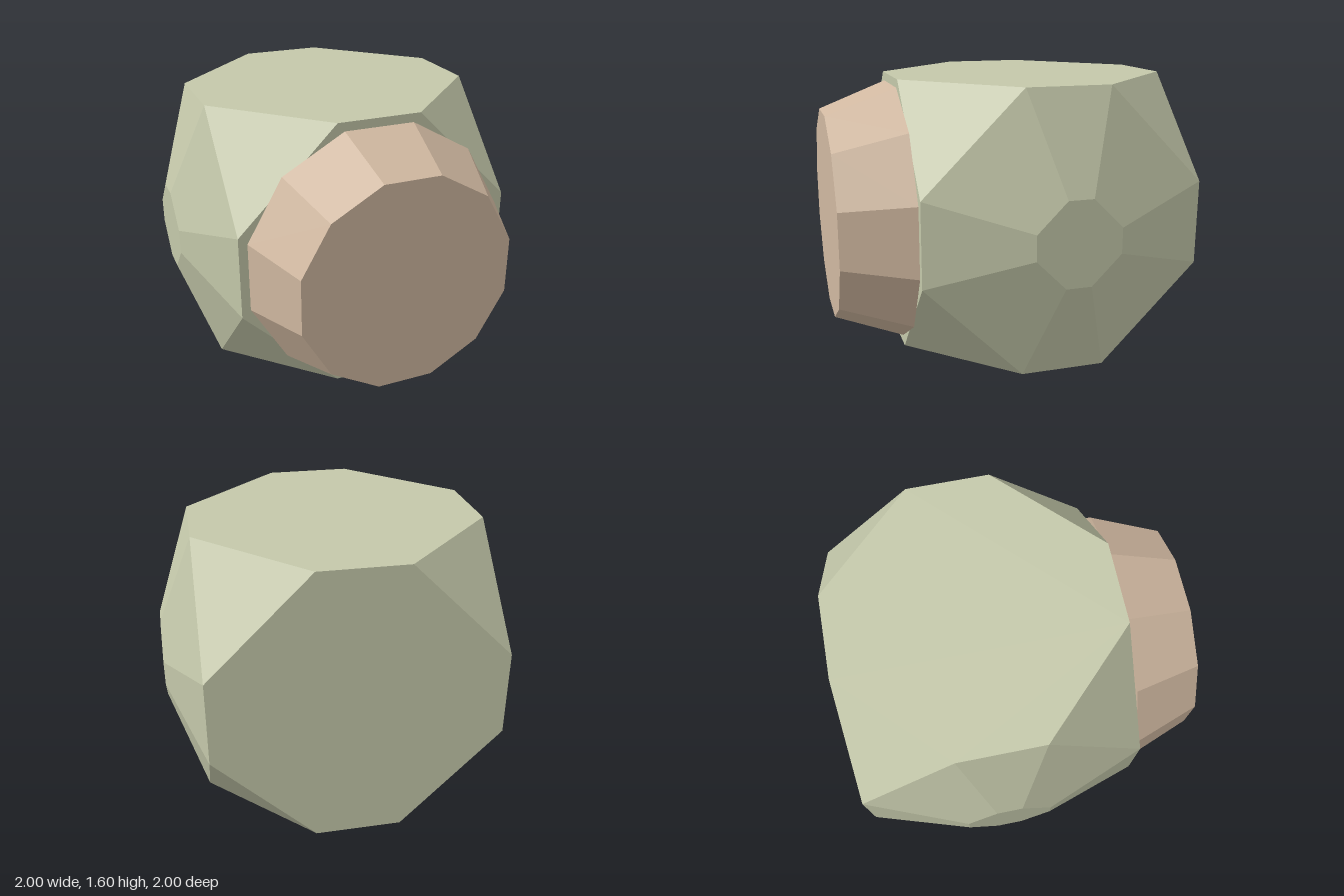
import * as THREE from 'three';
import { ConvexGeometry } from 'three/addons/geometries/ConvexGeometry.js';

const signs = [-1, 1];

// Ring of points mirrored in x and y from one quarter, at depth z.
function mirroredRing(quarter, z, scale = 1) {
  const points = [];
  for (const [x, y] of quarter)
    for (const sx of signs) for (const sy of signs)
      points.push(new THREE.Vector3(x * sx * scale, y * sy * scale, z));
  return points;
}

function solid(name, points, color) {
  const material = new THREE.MeshStandardMaterial({ color, flatShading: true });
  const mesh = new THREE.Mesh(new ConvexGeometry(points), material);
  mesh.name = name;
  return mesh;
}

export function createModel() {
  const model = new THREE.Group();
  model.name = 'model';

  // Head: cube with cut corners, each side cheek raised to a small octagon
  const half = 0.8, cut = 0.24;
  const octagon = [[cut, half], [half, cut]];
  const headPoints = [
    ...mirroredRing(octagon, half),
    ...mirroredRing(octagon, -half),
    ...mirroredRing([[half, half]], cut),
    ...mirroredRing([[half, half]], -cut),
  ];
  for (const side of signs)
    for (const p of mirroredRing(octagon, side, 0.3))
      headPoints.push(new THREE.Vector3(p.z, p.y, p.x));
  const head = solid('head', headPoints, 0xc4c8aa);
  head.position.set(0, 0.8, -0.2);
  model.add(head);

  // Snout: twelve-sided block tapering towards the front
  const outline = [[0.2, 0.75], [0.55, 0.55], [0.75, 0.2]];
  const snout = solid('snout', [
    ...mirroredRing(outline, 0),
    ...mirroredRing(outline, 0.4, 0.8),
  ], 0xd0b8a0);
  snout.position.set(0, 0.8, 0.6);
  model.add(snout);

  return model;
}
